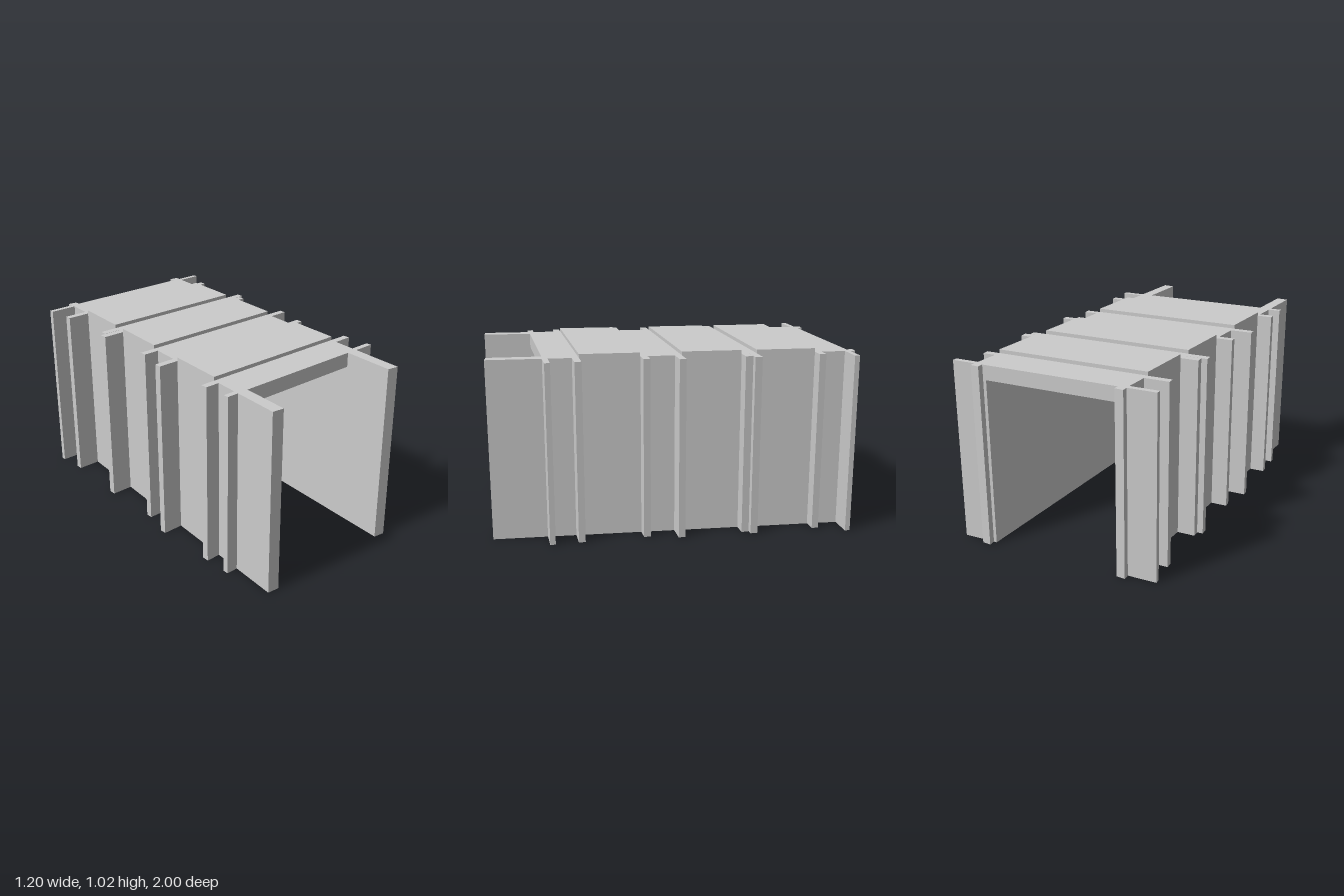
import * as THREE from 'three';

const material = new THREE.MeshStandardMaterial({ color: 0xcccccc, flatShading: true });

// Wall faces as x = f(z); both walls run at a slight slant
const leftOuter = (z) => 0.386 - 0.0865 * z;
const leftInner = (z) => 0.322 - 0.0865 * z;
const rightOuter = (z) => -0.47 - 0.097 * z;
const rightInner = (z) => -0.408 - 0.094 * z;

// Upright prism over a footprint of [x, z] corners
function prism(name, corners, y0, y1) {
  const shape = new THREE.Shape(corners.map(([x, z]) => new THREE.Vector2(x, -z)));
  const geometry = new THREE.ExtrudeGeometry(shape, { depth: y1 - y0, bevelEnabled: false });
  geometry.rotateX(-Math.PI / 2).translate(0, y0, 0);
  const mesh = new THREE.Mesh(geometry, material);
  mesh.name = name;
  return mesh;
}

// Slab between two x-functions from z0 to z1
const span = (name, fa, fb, z0, z1, y0, y1) =>
  prism(name, [[fa(z0), z0], [fb(z0), z0], [fb(z1), z1], [fa(z1), z1]], y0, y1);

export function createModel() {
  const group = new THREE.Group();
  group.name = 'passage';

  // Side walls, with ends cut square to the slant
  group.add(prism('leftWall', [
    [leftInner(-0.965), -0.965], [leftOuter(-0.965), -0.965],
    [leftOuter(1), 1], [leftInner(0.99), 0.99]], 0, 1));
  group.add(prism('rightWall', [
    [rightInner(-0.965), -0.965], [rightOuter(-0.965), -0.965],
    [rightOuter(0.963), 0.963], [rightInner(0.97), 0.97]], 0, 1));

  // Narrow posts at the back ends
  for (const [name, x0, x1] of [['leftBackPost', 0.423, 0.471], ['rightBackPost', -0.378, -0.33]]) {
    group.add(prism(name, [[x0, -1], [x1, -0.995], [x1, -0.95], [x0, -0.95]], 0, 1));
  }

  // Roof slab between the walls
  group.add(span('roof', rightInner, leftInner, -0.965, 0.7, 0.92, 1));

  // Raised roof panels, flush with the outer wall faces
  for (const [z0, z1] of [[-0.767, -0.445], [-0.36, -0.037], [0.187, 0.51]]) {
    group.add(span('roofPanel', rightOuter, leftOuter, z0, z1, 1, 1.02));
  }

  // Full-height fins: z range, right tip, left tip
  const fins = [
    [-0.965, -0.937, -0.535, 0.6],
    [-0.805, -0.768, -0.525, 0.525],
    [-0.445, -0.405, -0.525, 0.525],
    [-0.403, -0.362, -0.557, 0.495],
    [-0.037, 0.0, -0.557, 0.495],
    [0.147, 0.185, -0.603, 0.447],
    [0.51, 0.547, -0.603, 0.447],
    [0.673, 0.703, -0.603, 0.447],
  ];
  for (const [z0, z1, rightTip, leftTip] of fins) {
    const inset = 0.02;
    group.add(span('rightFin', () => rightTip, (z) => rightOuter(z) + inset, z0, z1, 0, 1));
    group.add(span('leftFin', (z) => leftOuter(z) - inset, () => leftTip, z0, z1, 0, 1));
  }
  return group;
}
